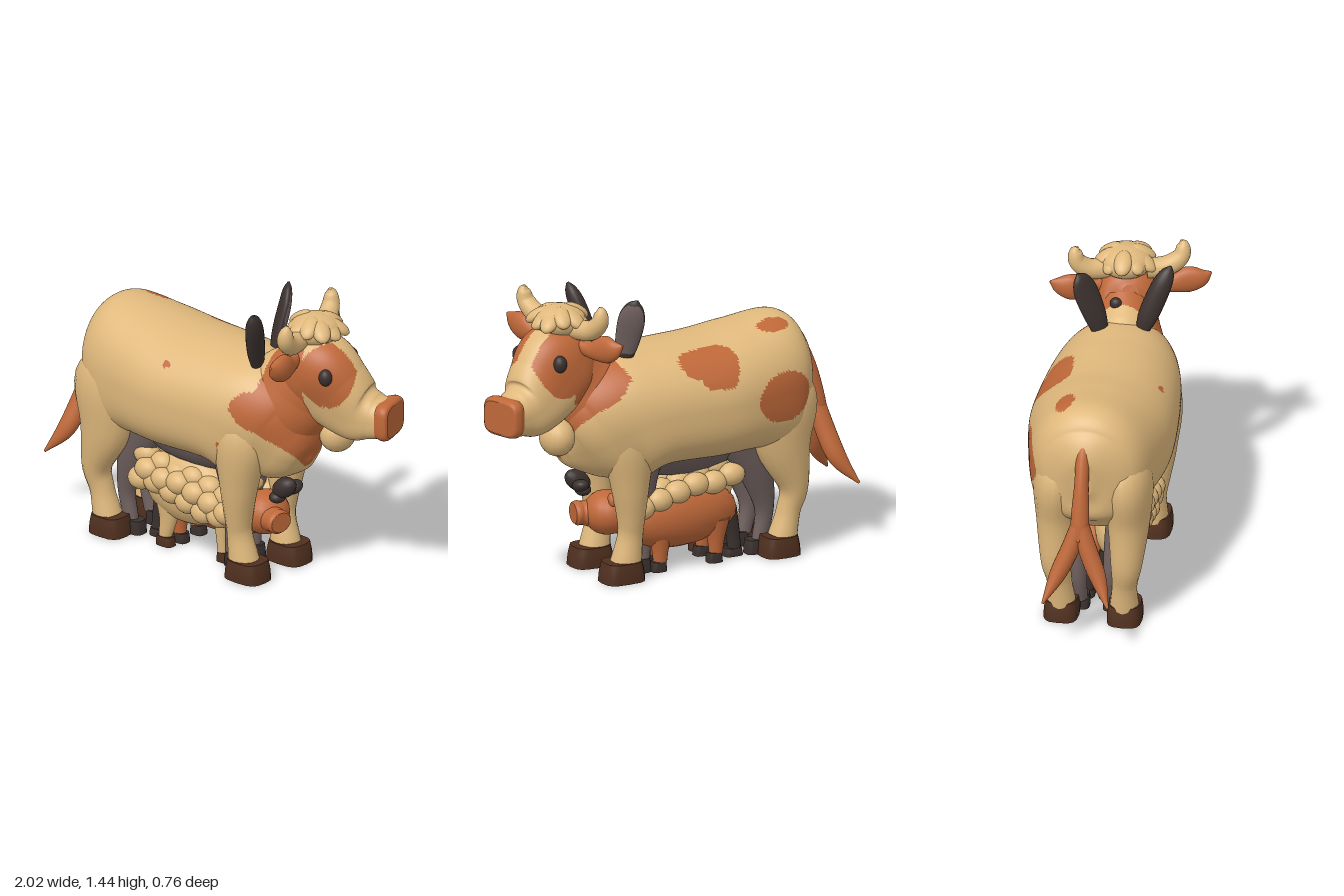
import * as THREE from 'three';

const mat = (name, color) => {
  const m = new THREE.MeshStandardMaterial({ color });
  m.name = name;
  return m;
};
const cream = mat('cream', 0xdfb87c);
const rust = mat('rust', 0xbf6839);
const brown = mat('hoof brown', 0x50301f);
const dark = mat('charcoal', 0x3b312e);
const mauve = mat('mauve grey', 0x70615f);

const Z = new THREE.Vector3(0, 0, 1), X = new THREE.Vector3(1, 0, 0), Y = new THREE.Vector3(0, 1, 0);

// Skin over stations [x, y, z, half width along ref, half height]; patch(p) picks the second material,
// power and lower set how square the upper and lower halves of the section are
function loft(name, material, stations, { ref = Z, n = 20, steps = 5, power = 2, lower = power, patch = null, patchMat = rust } = {}) {
  const path = new THREE.CatmullRomCurve3(stations.map(s => new THREE.Vector3(s[0], s[1], s[2])), false, 'catmullrom');
  const size = new THREE.CatmullRomCurve3(stations.map(s => new THREE.Vector3(s[3], s[4], 0)), false, 'catmullrom');
  const m = (stations.length - 1) * steps;
  const rows = [[0, 0], [0, 1], ...Array.from({ length: m + 1 }, (_, i) => [i / m, 1]), [1, 1], [1, 0]];
  const pts = [], pw = (v, e) => Math.sign(v) * Math.abs(v) ** (2 / e);
  for (const [u, k] of rows) {
    const c = path.getPoint(u), r = size.getPoint(u), t = path.getTangent(u);
    const side = ref.clone().addScaledVector(t, -ref.dot(t)).normalize();
    const up = side.clone().cross(t);
    for (let j = 0; j < n; j++) {
      const a = j / n * Math.PI * 2, e = j > n / 2 ? lower : power;
      pts.push(c.clone().addScaledVector(side, k * Math.max(r.x, 0.002) * pw(Math.cos(a), e))
        .addScaledVector(up, k * Math.max(r.y, 0.002) * pw(Math.sin(a), e)));
    }
  }
  const plain = [], painted = [];
  for (let i = 0; i < rows.length - 1; i++) {
    if (i === 1 || i === rows.length - 3) continue;
    for (let j = 0; j < n; j++) {
      const a = i * n + j, b = i * n + (j + 1) % n, c = a + n, d = b + n;
      for (const tri of [[a, c, b], [b, c, d]]) {
        const mid = new THREE.Vector3();
        tri.forEach(q => mid.addScaledVector(pts[q], 1 / 3));
        (patch && patch(mid) ? painted : plain).push(...tri);
      }
    }
  }
  const g = new THREE.BufferGeometry().setFromPoints(pts);
  g.setIndex([...plain, ...painted]);
  g.addGroup(0, plain.length, 0);
  if (painted.length) g.addGroup(plain.length, painted.length, 1);
  g.computeVertexNormals();
  const mesh = new THREE.Mesh(g, patch ? [material, patchMat] : material);
  mesh.name = name;
  return mesh;
}

function blob(name, material, pos, r, rot = [0, 0, 0]) {
  const mesh = new THREE.Mesh(new THREE.SphereGeometry(1, 18, 12), material);
  mesh.name = name;
  mesh.position.set(...pos);
  mesh.scale.set(...r);
  mesh.rotation.set(...rot);
  return mesh;
}

const oval = (a, b, ca, cb, ra, rb) => ((a - ca) / ra) ** 2 + ((b - cb) / rb) ** 2 < 1;

// Painted areas of the coat
const neckPatch = p => p.x > 0.27 && p.y > 0.85 - (p.x - 0.35) * 1.09 + (p.z < 0 ? Math.min(0.14, -p.z) : 0)
  && p.y > 0.59 + (p.z < 0 ? -1.3 : 0.95) * p.z
  && (p.x > 0.39 || oval(p.x, p.y, 0.375, 0.92, 0.085, 0.09) || (p.z < 0 && oval(p.x, p.y, 0.38, 1.0, 0.08, 0.13)));
const bodyPatch = p => neckPatch(p) || (p.z > 0
  ? oval(p.x, p.y, -0.12, 1.04, 0.018, 0.016) || oval(p.x, p.y, 0.23, 0.72, 0.015, 0.013)
  : (p.y > 0.95 && (oval(p.x, p.z, -0.15, -0.27, 0.12, 0.1) || oval(p.x, p.z, -0.06, -0.25, 0.1, 0.07)))
  || (p.y > 1 && oval(p.x, p.z, -0.535, -0.145, 0.085, 0.045))
  || (p.z < -0.1 && oval(p.x, p.y, -0.51, 0.85, 0.16, 0.125)));
const headPatch = p => {
  const s = p.z + 0.3 * (p.x - 0.6) + 0.03; // sideways distance from the face line
  const f = p.x - 0.3 * s; // distance along the face
  return (f < (s < 0 ? 0.64 : 0.58) && p.y > 0.94 && p.y < 1.32)
    || (Math.abs(s) > 0.05 && oval(f, p.y, 0.69, 1.14, 0.13, 0.155));
};

// A leg: stations going down, with a hoof block under the last one
function leg(name, hide, hoofMat, stations, [x, z, top, w, l]) {
  const g = new THREE.Group();
  g.name = name;
  g.add(loft('shank', hide, stations, { n: 16 }));
  g.add(loft('hoof', hoofMat, [[x, top, z, w * 0.93, l * 0.85], [x, top * 0.5, z, w, l * 0.95],
    [x, 0, z, w, l]], { n: 16, steps: 3, power: 3.2 }));
  return g;
}

function buildCow() {
  const g = new THREE.Group();
  g.name = 'cow';
  g.add(loft('body', cream, [
    [-0.77, 0.858, -0.015, 0.04, 0.07], [-0.752, 0.86, -0.015, 0.13, 0.19], [-0.705, 0.862, -0.015, 0.22, 0.255],
    [-0.61, 0.866, -0.015, 0.285, 0.332], [-0.4, 0.864, -0.018, 0.33, 0.312], [-0.2, 0.85, -0.018, 0.353, 0.3],
    [0.1, 0.845, -0.018, 0.335, 0.297], [0.28, 0.81, -0.015, 0.305, 0.325], [0.41, 0.74, -0.01, 0.25, 0.29],
    [0.5, 0.68, 0, 0.17, 0.195], [0.555, 0.645, 0, 0.09, 0.1], [0.575, 0.635, 0, 0.02, 0.02],
  ], { n: 128, steps: 14, power: 2.1, lower: 2.9, patch: bodyPatch }));
  g.add(loft('neck', cream, [
    [0.22, 0.8, -0.01, 0.26, 0.27], [0.4, 0.92, -0.01, 0.215, 0.255], [0.49, 1.03, -0.015, 0.165, 0.205],
    [0.57, 1.14, -0.03, 0.13, 0.15]], { n: 100, steps: 20, patch: neckPatch }));
  g.add(loft('head', cream, [
    [0.46, 1.22, 0.01, 0.04, 0.04], [0.5, 1.2, 0, 0.13, 0.13], [0.6, 1.13, -0.03, 0.165, 0.2],
    [0.7, 1.025, -0.065, 0.145, 0.192], [0.8, 0.945, -0.098, 0.126, 0.155], [0.88, 0.926, -0.122, 0.11, 0.113],
    [0.945, 0.923, -0.14, 0.105, 0.092],
  ], { n: 100, steps: 12, power: 2.2, lower: 3, patch: headPatch }));
  g.add(loft('muzzle', rust, [[0.925, 0.924, -0.134, 0.106, 0.09], [0.955, 0.924, -0.143, 0.116, 0.097],
    [0.98, 0.924, -0.151, 0.112, 0.092], [0.99, 0.924, -0.154, 0.1, 0.08]], { n: 32, power: 4 }));
  g.add(blob('throatLobe', cream, [0.65, 0.77, -0.12], [0.085, 0.095, 0.1]));
  g.add(blob('leftEye', dark, [0.745, 1.15, 0.083], [0.034, 0.043, 0.034]));
  g.add(blob('rightEye', dark, [0.673, 1.16, -0.192], [0.034, 0.043, 0.034]));

  // Ears and horns
  g.add(loft('leftEar', rust, [[0.57, 1.22, 0.1, 0.03, 0.03], [0.6, 1.21, 0.18, 0.045, 0.035], [0.625, 1.225, 0.26, 0.068, 0.04],
    [0.635, 1.24, 0.33, 0.05, 0.03], [0.645, 1.265, 0.378, 0.006, 0.006]], { ref: Y }));
  g.add(loft('rightEar', rust, [[0.53, 1.22, -0.14, 0.03, 0.03], [0.5, 1.21, -0.2, 0.045, 0.035], [0.465, 1.225, -0.27, 0.068, 0.04],
    [0.45, 1.24, -0.33, 0.05, 0.03], [0.43, 1.265, -0.378, 0.006, 0.006]], { ref: Y }));
  g.add(loft('leftHorn', cream, [[0.57, 1.3, 0.07, 0.05, 0.05], [0.6, 1.31, 0.17, 0.05, 0.05], [0.62, 1.355, 0.233, 0.045, 0.043],
    [0.63, 1.41, 0.243, 0.032, 0.032], [0.63, 1.44, 0.235, 0.008, 0.008]], { ref: X }));
  g.add(loft('rightHorn', cream, [[0.55, 1.3, -0.11, 0.05, 0.05], [0.51, 1.31, -0.2, 0.05, 0.05], [0.49, 1.355, -0.253, 0.045, 0.043],
    [0.485, 1.41, -0.263, 0.032, 0.032], [0.485, 1.44, -0.255, 0.008, 0.008]], { ref: X }));

  // Mop of hair with hanging tufts
  g.add(blob('hairMop', cream, [0.585, 1.33, -0.03], [0.13, 0.08, 0.13]));
  for (let i = 0; i < 10; i++) {
    const a = i / 10 * Math.PI * 2, k = i % 2 ? 0.1 : 0.085;
    g.add(blob('hairTuft', cream, [0.59 + k * Math.cos(a), 1.345 + 0.01 * (i % 3), -0.03 + k * Math.sin(a)],
      [0.07, 0.03, 0.045], [0, -a, -0.55, 'YXZ']));
  }

  // Legs
  for (const s of [1, -1]) {
    g.add(leg('frontLeg', cream, brown, [[0.28, 0.92, s * 0.13, 0.08, 0.06], [0.285, 0.74, s * 0.17, 0.125, 0.14],
      [0.275, 0.5, s * 0.178, 0.095, 0.1], [0.265, 0.32, s * 0.168, 0.072, 0.07],
      [0.265, 0.22, s * 0.16, 0.062, 0.064], [0.285, 0.09, s * 0.155, 0.073, 0.08]], [0.31, s * 0.155, 0.1, 0.087, 0.11]));
    g.add(leg('backLeg', cream, brown, [[-0.53, 0.98, s * 0.12, 0.09, 0.08], [-0.56, 0.8, s * 0.165, 0.125, 0.195],
      [-0.575, 0.57, s * 0.175, 0.105, 0.15], [-0.635, 0.35, s * 0.172, 0.078, 0.077],
      [-0.615, 0.22, s * 0.16, 0.062, 0.06], [-0.585, 0.09, s * 0.155, 0.072, 0.073]], [-0.565, s * 0.155, 0.1, 0.085, 0.1]));
  }

  // Tail, forking into two points
  g.add(loft('tail', rust, [[-0.66, 1.08, 0, 0.03, 0.03], [-0.73, 1.03, -0.02, 0.035, 0.04], [-0.8, 0.88, -0.02, 0.035, 0.045],
    [-0.85, 0.7, -0.02, 0.045, 0.045], [-0.87, 0.6, -0.02, 0.035, 0.04]]));
  for (const s of [1, -1]) {
    g.add(loft('tailPoint', rust, [[-0.845, 0.7, -0.02, 0.035, 0.045], [-0.875, 0.56, -0.02 + s * 0.04, 0.045, 0.05],
      [-0.915, 0.42, -0.02 + s * 0.1, 0.04, 0.045], [-0.998, 0.3, -0.02 + s * 0.16, 0.006, 0.006]]));
  }
  return g;
}

// Grey animal mostly hidden inside the cow
function buildDonkey() {
  const g = new THREE.Group();
  g.name = 'donkey';
  g.add(blob('belly', mauve, [-0.11, 0.65, 0], [0.42, 0.21, 0.2]));
  for (const s of [1, -1]) {
    g.add(leg('backLeg', mauve, dark, [[-0.38, 0.62, s * 0.12, 0.07, 0.13], [-0.47, 0.42, s * 0.1, 0.06, 0.09],
      [-0.525, 0.22, s * 0.08, 0.04, 0.05], [-0.5, 0.06, s * 0.075, 0.035, 0.037]], [-0.47, s * 0.075, 0.07, 0.042, 0.048]));
    g.add(leg('frontLeg', mauve, dark, [[0.15, 0.62, s * 0.12, 0.07, 0.09], [0.15, 0.4, s * 0.09, 0.05, 0.055],
      [0.15, 0.2, s * 0.075, 0.035, 0.045], [0.15, 0.06, s * 0.075, 0.035, 0.04]], [0.16, s * 0.075, 0.07, 0.042, 0.05]));
  }
  // Broad right ear turned outward, with a grey inner face
  g.add(loft('rightEar', dark, [[0.27, 1.1, -0.1, 0.04, 0.03], [0.265, 1.2, -0.13, 0.06, 0.032], [0.265, 1.32, -0.175, 0.066, 0.03],
    [0.26, 1.39, -0.2, 0.045, 0.022], [0.255, 1.425, -0.215, 0.006, 0.005]], { ref: new THREE.Vector3(1, 0, 1).normalize(), n: 32, steps: 8,
    patch: p => p.x - p.z > 0.407 + (p.y - 1.2) * 0.37 && p.y > 1.14 && p.y < 1.4, patchMat: mauve }));
  g.add(loft('leftEar', dark, [[0.32, 1.09, 0.09, 0.03, 0.025], [0.335, 1.18, 0.12, 0.05, 0.035], [0.37, 1.32, 0.175, 0.05, 0.04],
    [0.39, 1.39, 0.205, 0.035, 0.028], [0.4, 1.425, 0.22, 0.006, 0.006]]));
  g.add(blob('mane', dark, [0.4, 1.19, -0.05], [0.025, 0.03, 0.03]));
  g.add(blob('muzzle', dark, [0.445, 0.475, 0.04], [0.075, 0.05, 0.045], [0, 0, 0.6]));
  g.add(blob('lip', dark, [0.46, 0.465, -0.015], [0.04, 0.03, 0.05], [0.3, 0, 0]));
  g.add(blob('chin', dark, [0.41, 0.42, 0.05], [0.04, 0.03, 0.045]));
  return g;
}

function buildPig() {
  const g = new THREE.Group();
  g.name = 'pig';
  g.add(blob('body', rust, [-0.04, 0.255, -0.055], [0.34, 0.16, 0.135]));
  g.add(blob('head', rust, [0.3, 0.3, 0.01], [0.115, 0.11, 0.125]));
  g.add(loft('snout', rust, [[0.33, 0.295, 0.03, 0.085, 0.085], [0.4, 0.297, 0.06, 0.064, 0.06], [0.435, 0.3, 0.068, 0.07, 0.06],
    [0.452, 0.3, 0.071, 0.06, 0.05]]));
  g.add(blob('ear', rust, [0.34, 0.4, -0.115], [0.02, 0.035, 0.025], [0.6, 0, 0]));
  for (const x of [0.07, -0.24]) for (const z of [-0.11, 0.02]) {
    g.add(leg('leg', rust, dark, [[x, 0.22, z, 0.055, 0.075], [x, 0.12, z, 0.04, 0.045], [x, 0.04, z, 0.03, 0.034]],
      [x + 0.01, z, 0.05, 0.034, 0.04]));
  }
  return g;
}

function buildSheep() {
  const g = new THREE.Group();
  g.name = 'sheep';
  g.add(blob('body', cream, [-0.14, 0.33, 0.06], [0.28, 0.19, 0.125]));
  // Rows of wool puffs wrapped over the back
  [-16, 14, 46, 82, 116, 148].forEach((deg, row) => {
    const a = deg * Math.PI / 180;
    for (let i = 0; i < 6; i++) {
      const x = -0.36 + i * 0.1 + (row % 2) * 0.045, sway = (i * 3 + row) % 4 * 0.008;
      g.add(blob('woolPuff', cream, [x, 0.375 + 0.1 * Math.sin(a) - 0.018 * i + sway, 0.01 + 0.165 * Math.cos(a)],
        [0.07, 0.058, 0.058]));
    }
  });
  g.add(leg('leg', cream, brown, [[-0.24, 0.25, 0.1, 0.05, 0.08], [-0.245, 0.14, 0.1, 0.035, 0.05], [-0.265, 0.04, 0.1, 0.028, 0.034]],
    [-0.26, 0.1, 0.05, 0.034, 0.05]));
  g.add(leg('leg', cream, brown, [[0.08, 0.25, 0.08, 0.04, 0.05], [0.08, 0.13, 0.075, 0.03, 0.032], [0.08, 0.04, 0.07, 0.026, 0.028]],
    [0.09, 0.07, 0.05, 0.03, 0.04]));
  // Dark hind legs tucked behind
  for (const z of [-0.06, 0.03]) {
    g.add(leg('darkLeg', dark, dark, [[-0.33, 0.24, z, 0.04, 0.05], [-0.36, 0.12, z, 0.032, 0.036], [-0.37, 0.03, z, 0.03, 0.034]],
      [-0.36, z, 0.04, 0.036, 0.05]));
  }
  return g;
}

export function createModel() {
  const model = new THREE.Group();
  model.name = 'stackedFarmAnimals';
  model.add(buildCow(), buildDonkey(), buildPig(), buildSheep());
  return model;
}
